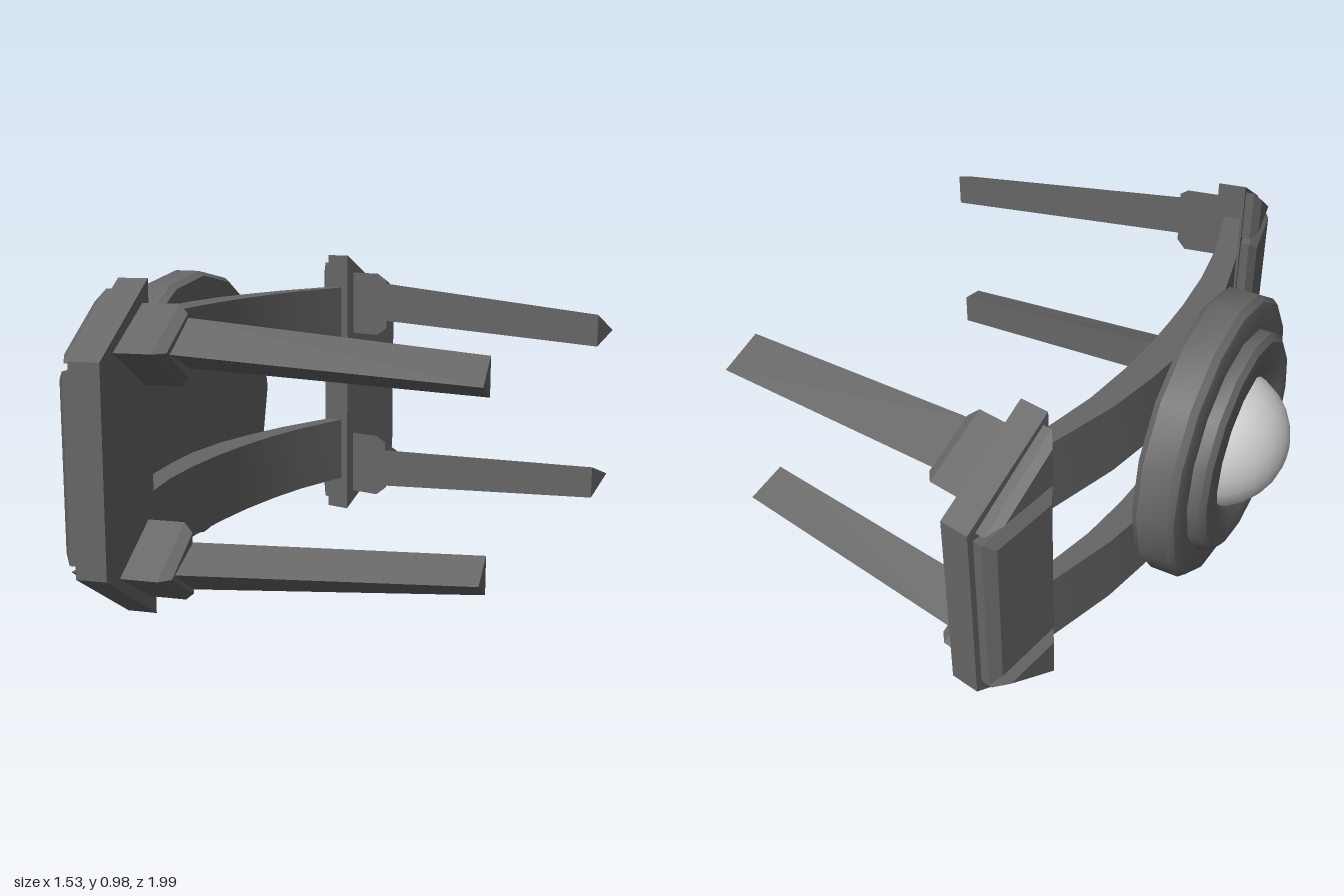
import * as THREE from 'three';
import { toCreasedNormals } from 'three/addons/utils/BufferGeometryUtils.js';

const MID = 0.49; // height of the plane of symmetry

// Joins convex cross-sections into a closed solid, always facing outward.
function loft(sections) {
  const tris = [];
  const n = sections[0].length;
  for (let s = 0; s < sections.length - 1; s++) {
    const a = sections[s], b = sections[s + 1];
    for (let i = 0; i < n; i++) {
      const j = (i + 1) % n;
      tris.push([a[i], a[j], b[j]], [a[i], b[j], b[i]]);
    }
  }
  const first = sections[0], last = sections[sections.length - 1];
  for (let i = 1; i < n - 1; i++) {
    tris.push([first[0], first[i + 1], first[i]], [last[0], last[i], last[i + 1]]);
  }
  const vec = (p) => new THREE.Vector3(...p);
  let volume = 0;
  for (const [a, b, c] of tris) volume += vec(a).dot(vec(b).cross(vec(c)));
  if (volume < 0) tris.forEach((t) => t.reverse());
  const geo = new THREE.BufferGeometry();
  geo.setAttribute('position', new THREE.Float32BufferAttribute(tris.flat(2), 3));
  geo.computeVertexNormals();
  return geo;
}

// Places a [y, z] outline at a given x, scaled about its centroid.
function section(x, outline, scaleY = 1, scaleZ = scaleY) {
  const cy = outline.reduce((t, p) => t + p[0], 0) / outline.length;
  const cz = outline.reduce((t, p) => t + p[1], 0) / outline.length;
  return outline.map(([y, z]) => [x, cy + (y - cy) * scaleY, cz + (z - cz) * scaleZ]);
}

export function createModel() {
  const darkGrey = new THREE.MeshStandardMaterial({ color: 0x666666 });
  darkGrey.name = 'darkGrey';
  const lightGrey = new THREE.MeshStandardMaterial({ color: 0xcccccc });
  lightGrey.name = 'lightGrey';

  const model = new THREE.Group();
  model.name = 'clawBracket';
  const add = (parent, name, geo, material = darkGrey) => {
    const mesh = new THREE.Mesh(geo, material);
    mesh.name = name;
    parent.add(mesh);
    return mesh;
  };

  // Stepped round housing, turned to face -x
  const profile = [
    [0, 0.46], [0.44, 0.46], [0.455, 0.48], [0.455, 0.57], [0.44, 0.59], [0.42, 0.595],
    [0.355, 0.595], [0.35, 0.63], [0.33, 0.645], [0.25, 0.645], [0.21, 0.62], [0, 0.62],
  ].map(([r, h]) => new THREE.Vector2(r, h));
  const housing = add(model, 'roundHousing', toCreasedNormals(new THREE.LatheGeometry(profile, 16), 0.6));
  housing.rotation.z = Math.PI / 2;
  housing.position.y = 0.5;

  // Domed lens
  const lens = add(model, 'domeLens',
    new THREE.SphereGeometry(0.225, 20, 7, 0, Math.PI * 2, 0, Math.PI / 2), lightGrey);
  lens.rotation.z = Math.PI / 2;
  lens.position.set(-0.54, 0.5, 0);

  // Two curved bands: z, outer x, inner x
  const half = [[0.1, -0.46, -0.359], [0.27, -0.434, -0.347], [0.44, -0.397, -0.322], [0.7, -0.308, -0.254]];
  const bandPath = [
    ...half.map(([z, o, i]) => [-z, o, i]).reverse(),
    [0, -0.462, -0.36],
    ...half,
  ];
  for (const [name, low, high] of [['upperBand', 0.63, 0.86], ['lowerBand', 0.12, 0.35]]) {
    const geo = loft(bandPath.map(([z, o, i]) => [[o, low, z], [i, low, z], [i, high, z], [o, high, z]]));
    add(model, name, toCreasedNormals(geo, 0.5));
  }

  // Each end: a tapered plate with raised panels outside and claws inside
  function buildEnd(name) {
    const tilt = new THREE.Group();
    tilt.position.set(-0.235, 0, 0.665);
    tilt.rotation.y = 0.18;

    const plate = [[-0.49, 0], [0.49, 0], [0.295, 0.32], [-0.295, 0.32]];
    add(tilt, 'endPlate', loft([section(-0.09, plate), section(0, plate)]));

    const panel = [[-0.265, 0.02], [0.265, 0.02], [0.265, 0.3], [-0.265, 0.3]];
    add(tilt, 'centrePanel', loft([
      section(-0.08, panel), section(-0.118, panel), section(-0.142, panel, 0.9, 0.78),
    ]));

    for (const s of [1, -1]) {
      const corner = [[0.46, 0.02], [0.285, 0.02], [0.285, 0.29]].map(([y, z]) => [y * s, z]);
      add(tilt, 'cornerPanel', loft([
        section(-0.08, corner), section(-0.118, corner), section(-0.142, corner, 0.7),
      ]));

      const socket = [[0.425, 0.04], [0.31, 0.24], [0.195, 0.04]].map(([y, z]) => [y * s, z]);
      add(tilt, 'clawSocket', loft([
        section(-0.02, socket), section(0.11, socket), section(0.14, socket, 0.78),
      ]));

      const root = [[0.39, 0.05], [0.305, 0.188], [0.25, 0.05]].map(([y, z]) => [y * s, z]);
      const tip = [[0.318, 0.086], [0.255, 0.212], [0.21, 0.086]].map(([y, z]) => [y * s, z]);
      add(tilt, 'claw', loft([section(0.12, root), section(0.975, tip)]));
    }

    const end = new THREE.Group();
    end.name = name;
    end.position.y = MID;
    end.add(tilt);
    model.add(end);
    return end;
  }
  buildEnd('frontEnd');
  // The end is symmetric in height, so a half turn about x mirrors it to the back
  buildEnd('backEnd').rotation.x = Math.PI;

  return model;
}
